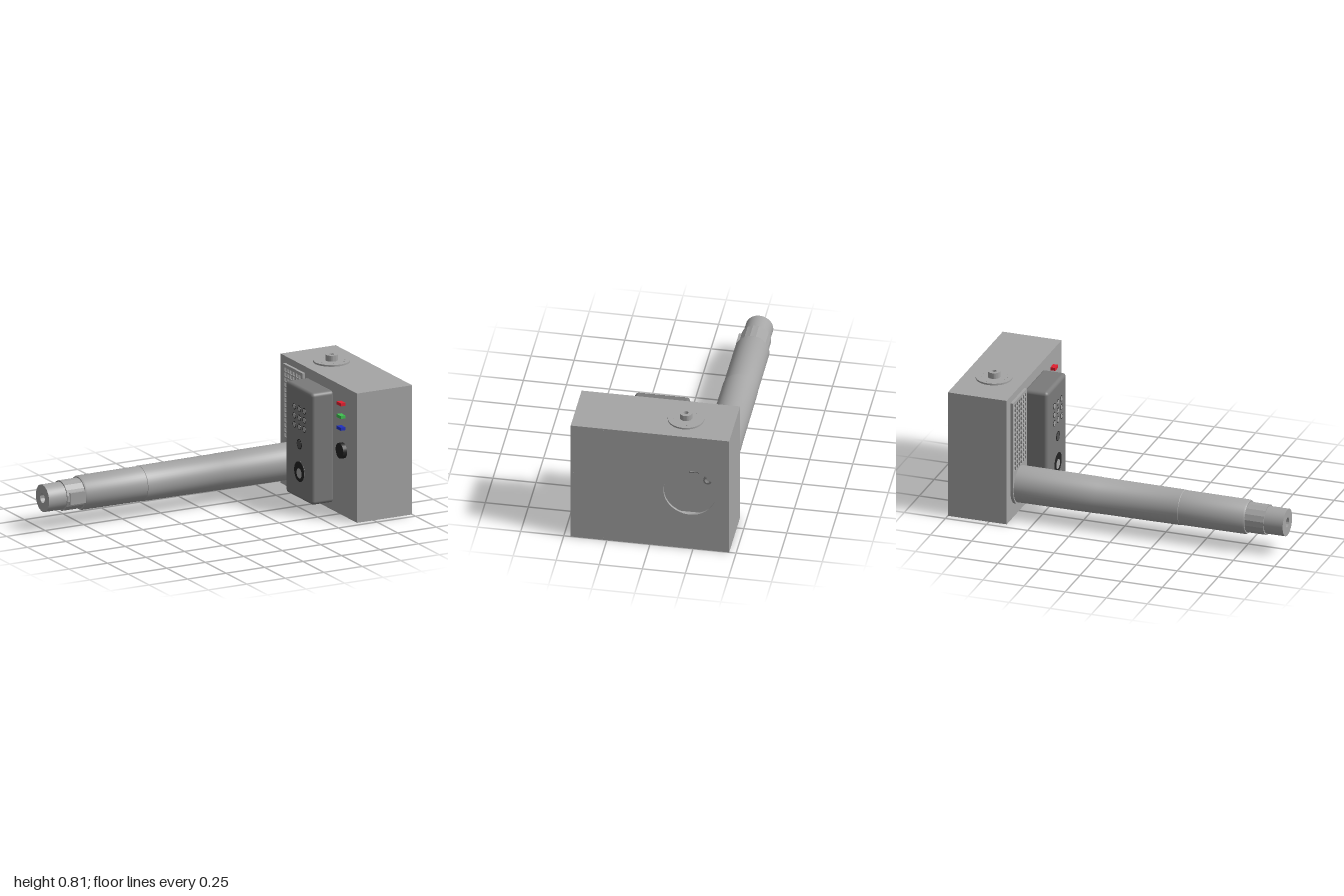
import * as THREE from 'three';
import { toCreasedNormals } from 'three/addons/utils/BufferGeometryUtils.js';
import { RoundedBoxGeometry } from 'three/addons/geometries/RoundedBoxGeometry.js';

const mat = (color, extra = {}) => new THREE.MeshStandardMaterial({ color, ...extra });
const light = mat(0xcccccc);
const metal = mat(0xa5a5a5);
const metalBoth = mat(0xa5a5a5, { side: THREE.DoubleSide });
const metalFlat = mat(0xa5a5a5, { flatShading: true });
const caseGrey = mat(0x7a7a7a);
const darkGrey = mat(0x505050);
const dark = mat(0x222222);
const gold = mat(0xf0dc90);

export function createModel() {
  const model = new THREE.Group();

  const add = (name, geo, material, x = 0, y = 0, z = 0) => {
    const mesh = new THREE.Mesh(geo, material);
    mesh.name = name;
    mesh.position.set(x, y, z);
    model.add(mesh);
  };
  const box = (name, material, x, y, z, w, h, d) =>
    add(name, new THREE.BoxGeometry(w, h, d), material, x, y, z);
  // cylinder lying along x
  const disc = (name, material, x, y, z, r, len, sides = 24) =>
    add(name, new THREE.CylinderGeometry(r, r, len, sides).rotateZ(Math.PI / 2), material, x, y, z);
  // turned part; points are [radius, height]
  const turned = (pts, sides = 48) => toCreasedNormals(
    new THREE.LatheGeometry(pts.map(([r, h]) => new THREE.Vector2(r, h)), sides), 0.5);
  const circle = (x, y, r) => new THREE.Path().absarc(x, y, r, 0, Math.PI * 2, true);
  const rect = (x0, y0, x1, y1) => new THREE.Shape([
    new THREE.Vector2(x0, y0), new THREE.Vector2(x1, y0),
    new THREE.Vector2(x1, y1), new THREE.Vector2(x0, y1)]);
  const extrude = (shape, depth) => toCreasedNormals(
    new THREE.ExtrudeGeometry(shape, { depth, bevelEnabled: false, curveSegments: 24 }), 0.5);

  // Hollow housing from six panels
  const T = 0.015, H = 0.77, X0 = 0.642, X1 = 1, XM = 0.821, Z = 0.46;
  const dialZ = -0.178;
  box('mountingPanel', metal, X0 + T / 2, H / 2, 0, T, H, 2 * Z);
  for (const s of [-1, 1]) {
    box(s > 0 ? 'frontPanel' : 'backPanel', metal, XM, H / 2, s * (Z - T / 2), X1 - X0 - 2 * T, H, T);
  }
  const side = rect(-Z, 0, Z, H);
  side.holes.push(circle(0.23, 0.387, 0.152));
  add('windowPanel', extrude(side, T).rotateY(Math.PI / 2), metal, X1 - T);
  const lid = rect(X0 + T, -Z + T, X1 - T, Z - T);
  lid.holes.push(circle(XM, -dialZ, 0.014));
  const lidGeo = extrude(lid, T).rotateX(-Math.PI / 2);
  add('topPanel', lidGeo, metal, 0, H - T);
  add('bottomPanel', lidGeo, metal);

  // Tiny flush screws along the edges
  for (const s of [-1, 1]) {
    for (const x of [0.75, 0.88]) for (const y of [0.02, H - 0.02]) {
      add('screw', new THREE.CylinderGeometry(0.003, 0.003, 0.001, 8).rotateX(Math.PI / 2), metal, x, y, s * Z);
    }
    for (const y of [0.325, 0.445]) disc('screw', metal, X1, y, s * 0.445, 0.003, 0.001, 8);
  }
  for (const z of [-0.27, -0.145, 0.145, 0.27]) {
    for (const y of [0.015, H - 0.015]) disc('screw', metal, X1, y, z, 0.003, 0.001, 8);
  }

  // Hollow dial on the lid
  add('topDial', turned([[0.014, 0], [0.105, 0], [0.105, 0.01], [0.036, 0.01],
    [0.036, 0.045], [0.014, 0.045], [0.014, 0]]), metalBoth, XM, H, dialZ);
  for (let i = 0; i < 12; i++) {
    const a = (i + 0.5) * Math.PI / 6;
    add('dialMark', new THREE.CylinderGeometry(0.006, 0.006, 0.002, 10), metal,
      XM + 0.077 * Math.cos(a), H + 0.0095, dialZ + 0.077 * Math.sin(a));
  }

  // Stepped barrel with a bore at the tip; heights run along x
  const by = 0.184, bz = -0.282;
  add('barrel', turned([
    [0, -0.6], [0.028, -0.6], [0.028, -1], [0.08, -1], [0.08, -0.77], [0.095, -0.77], [0.1, -0.76],
    [0.101, -0.37], [0.103, -0.368], [0.105, 0.138], [0.106, 0.14], [0.108, X0],
  ]).rotateZ(-Math.PI / 2), metalBoth, 0, by, bz);
  add('barrelCollar', new THREE.CylinderGeometry(0.089, 0.089, 0.115, 16)
    .rotateY(Math.PI / 16).rotateZ(Math.PI / 2), metalFlat, -0.8275, by, bz);
  box('collarPad', metal, -0.82, by, bz + 0.079, 0.1, 0.07, 0.034);

  // Perforated plate, rounded around the barrel root
  const plate = new THREE.Shape();
  plate.moveTo(0.4, by);
  plate.lineTo(0.4, 0.73);
  plate.lineTo(0.166, 0.73);
  plate.lineTo(0.166, by);
  plate.absarc(-bz, by, 0.117, Math.PI, Math.PI * 2, false);
  const cols = 6, rows = 14, pitch = 0.034, k = 0.0135;
  for (let c = 0; c < cols; c++) for (let r = 0; r < rows; r++) {
    const u = 0.283 + (c - (cols - 1) / 2) * pitch, v = 0.7 - r * 0.03;
    plate.holes.push(new THREE.Path([
      new THREE.Vector2(u - k, v - 0.011), new THREE.Vector2(u - k, v + 0.011),
      new THREE.Vector2(u + k, v + 0.011), new THREE.Vector2(u + k, v - 0.011)]));
  }
  add('grillPlate', extrude(plate, X0 - 0.625).rotateY(Math.PI / 2), metal, 0.625);
  box('grillBacking', light, 0.637, 0.505, -0.283, 0.01, 0.42, 0.21);

  // Keypad case with nine flush buttons, a knob and a round socket
  const kx = 0.505, kz = 0.02;
  add('keypadCase', new RoundedBoxGeometry(0.15, 0.665, 0.32, 4, 0.022), caseGrey, kx + 0.075, 0.3775, 0.01);
  for (let c = -1; c <= 1; c++) for (let r = -1; r <= 1; r++) {
    const y = 0.531 + r * 0.054, z = kz + c * 0.06;
    disc('buttonRim', dark, kx, y, z, 0.019, 0.002);
    disc('button', metal, kx, y, z, 0.015, 0.004);
  }
  disc('smallKnob', dark, kx, 0.374, kz, 0.03, 0.002);
  disc('smallKnobCap', darkGrey, kx, 0.374, kz, 0.024, 0.004);
  disc('socketRim', caseGrey, kx, 0.21, kz, 0.066, 0.002, 40);
  disc('socket', dark, kx, 0.21, kz, 0.06, 0.003, 40);
  disc('socketCore', metal, kx, 0.2, kz, 0.03, 0.004);

  // Indicator lamps and round switch
  const lampZ = 0.295;
  [['redLamp', 0xe02030, 0.67], ['greenLamp', 0x40c050, 0.595], ['blueLamp', 0x2030c0, 0.525]]
    .forEach(([name, color, y]) => box(name, mat(color), 0.627, y, lampZ, 0.03, 0.018, 0.05));
  disc('switch', dark, 0.63, 0.39, lampZ, 0.046, 0.026);

  // Inside: circuit board on the mounting panel, seen through the window
  const bx = 0.675;
  box('boardFrame', darkGrey, 0.665, 0.51, -0.272, 0.02, 0.42, 0.204);
  box('circuitBoard', light, bx, 0.512, -0.272, 0.012, 0.408, 0.196);
  for (let i = 0; i < 5; i++) {
    const z = -0.228 - i * 0.025;
    box('track', gold, bx + 0.0065, 0.512, z, 0.002, 0.4, 0.007);
    for (let j = 0; j < 14; j++) {
      disc('solderPoint', dark, bx + 0.0075, 0.318 + j * 0.027, z, 0.004, 0.002, 8);
    }
  }
  for (const z of [-0.205, -0.356]) for (let j = 0; j < 9; j++) {
    box('shortTrack', gold, bx + 0.0065, 0.34 + j * 0.016, z, 0.002, 0.005, 0.016);
  }

  // Inside: terminal blocks and cable sleeves
  const sleeve = turned([[0.016, 0], [0.025, 0], [0.025, 0.03], [0.016, 0.03], [0.016, 0]], 24)
    .rotateZ(-Math.PI / 2);
  for (const [y, z] of [[0.257, -0.277], [0.63, 0.087]]) {
    add('cableSleeve', sleeve, mat(0x7a7a7a, { side: THREE.DoubleSide }), 0.65, y, z);
  }
  for (const [y, z] of [[0.387, -0.13], [0.7, 0.03]]) {
    box('terminalBlock', caseGrey, 0.67, y, z + 0.01, 0.04, 0.044, 0.022);
    box('terminalCover', darkGrey, 0.67, y, z - 0.011, 0.04, 0.044, 0.02);
  }

  return model;
}
